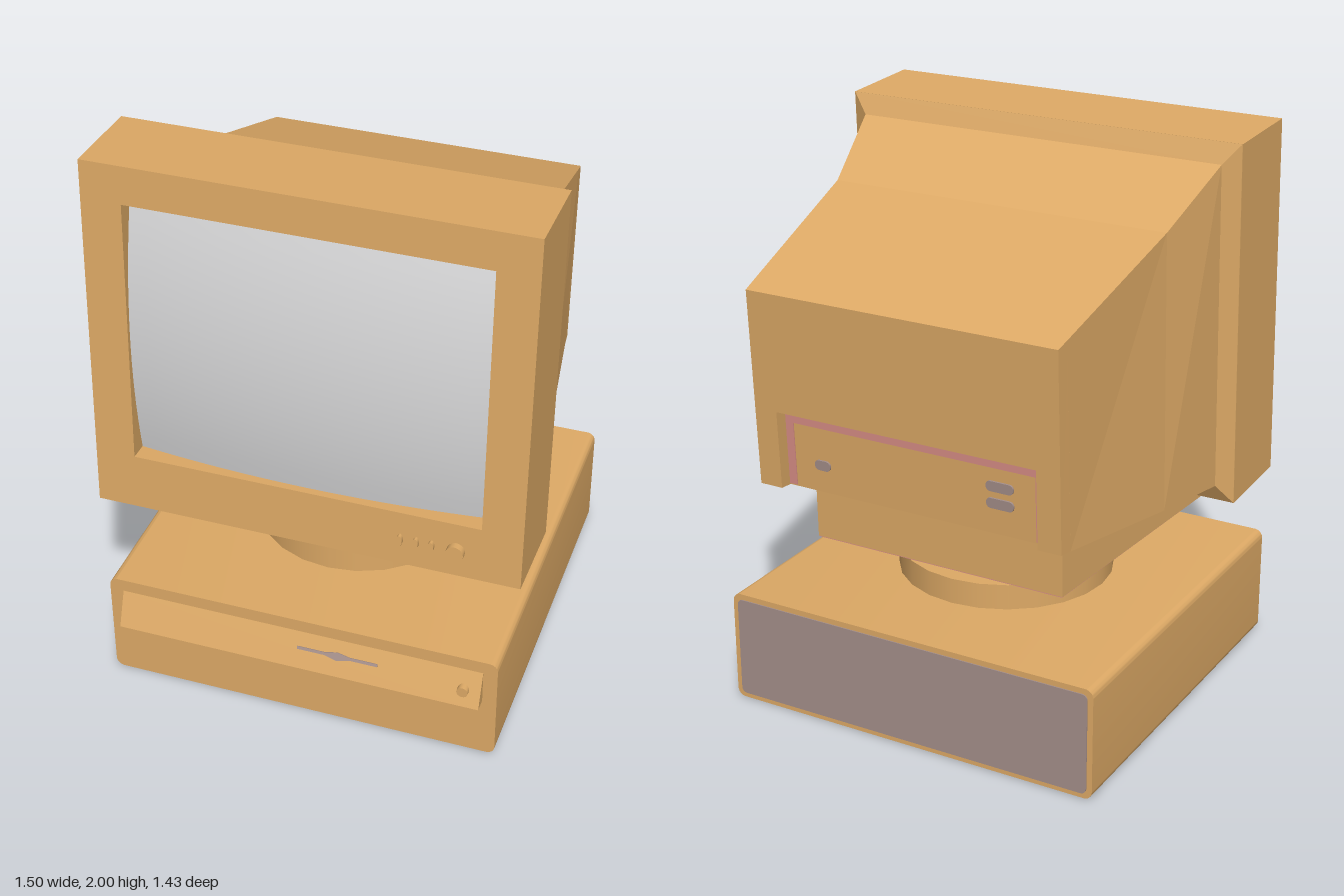
import * as THREE from 'three';
import { toCreasedNormals } from 'three/addons/utils/BufferGeometryUtils.js';

const mat = (name, color, side = THREE.FrontSide) => {
  const m = new THREE.MeshStandardMaterial({ color, side });
  m.name = name;
  return m;
};

// Flat-sided loft, front to back; section = { top:[z,y], bot:[z,y], wt, wb } (half widths)
function loft(sections) {
  const pos = [];
  const quad = (a, b, c, d) => pos.push(...a, ...b, ...c, ...a, ...c, ...d);
  const rings = sections.map(({ top, bot, wt, wb = wt }) => [
    [-wt, top[1], top[0]], [-wb, bot[1], bot[0]], [wb, bot[1], bot[0]], [wt, top[1], top[0]],
  ]);
  for (let s = 0; s < rings.length - 1; s++) {
    const a = rings[s], b = rings[s + 1];
    for (let i = 0; i < 4; i++) {
      const j = (i + 1) % 4;
      quad(a[i], b[i], b[j], a[j]);
    }
  }
  quad(...rings[0]);
  quad(...[...rings[rings.length - 1]].reverse());
  const g = new THREE.BufferGeometry();
  g.setAttribute('position', new THREE.Float32BufferAttribute(pos, 3));
  g.computeVertexNormals();
  return g;
}

const polygon = (points) => new THREE.Shape(points.map(([x, y]) => new THREE.Vector2(x, y)));
const rect = (x0, y0, x1, y1) => polygon([[x0, y0], [x1, y0], [x1, y1], [x0, y1]]);
const extrude = (shape, depth) =>
  new THREE.ExtrudeGeometry(shape, { depth, bevelEnabled: false, curveSegments: 6 });

function roundedRect(x0, y0, x1, y1, r) {
  const s = new THREE.Shape();
  s.absarc(x1 - r, y1 - r, r, 0, Math.PI / 2);
  s.absarc(x0 + r, y1 - r, r, Math.PI / 2, Math.PI);
  s.absarc(x0 + r, y0 + r, r, Math.PI, Math.PI * 1.5);
  s.absarc(x1 - r, y0 + r, r, Math.PI * 1.5, Math.PI * 2);
  s.closePath();
  return s;
}

export function createModel() {
  const tan = mat('tan plastic', 0xdeaa66);
  const glass = mat('screen glass', 0xd8d8d9);
  const pink = mat('pink underside', 0xdb8f88);
  const grey = mat('grey metal', 0xa58f8a);

  const model = new THREE.Group();
  model.name = 'desktopComputer';
  const add = (parent, name, geometry, material, x = 0, y = 0, z = 0) => {
    const m = new THREE.Mesh(geometry, material);
    m.name = name;
    m.position.set(x, y, z);
    parent.add(m);
    return m;
  };
  const box = (parent, name, material, size, at) =>
    add(parent, name, new THREE.BoxGeometry(...size), material, ...at);
  const knob = (parent, name, r, length, x, y, z, squash = 1) => {
    const g = new THREE.CylinderGeometry(r, r, length, 16).rotateX(Math.PI / 2).scale(squash, 1, 1);
    return add(parent, name, g, tan, x, y, z);
  };

  // System case with rounded long edges
  const caseBox = new THREE.Group();
  caseBox.name = 'systemCase';
  model.add(caseBox);
  add(caseBox, 'caseShell',
    toCreasedNormals(extrude(roundedRect(-0.705, 0.002, 0.705, 0.407, 0.03), 1.37), 0.6), tan, 0, 0, -0.704);
  box(caseBox, 'caseUnderside', pink, [1.35, 0.006, 1.36], [0, 0.003, -0.02]);
  add(caseBox, 'caseBackPanel', extrude(roundedRect(-0.685, 0.02, 0.685, 0.387, 0.02), 0.005), grey, 0, 0, -0.708);

  // Slanted drive panel with slot and button
  add(caseBox, 'drivePanel', loft([
    { top: [0.667, 0.36], bot: [0.715, 0.235], wt: 0.655 },
    { top: [0.655, 0.36], bot: [0.655, 0.235], wt: 0.655 },
  ]), tan);
  const slot = add(caseBox, 'diskSlot', extrude(polygon([
    [-0.145, -0.005], [-0.045, -0.005], [0, -0.017], [0.045, -0.005], [0.145, -0.005],
    [0.145, 0.005], [0.045, 0.005], [0, 0.014], [-0.045, 0.005], [-0.145, 0.005],
  ]), 0.006), grey, 0.145, 0.305, 0.686);
  slot.rotation.x = -Math.atan2(0.048, 0.125);
  knob(caseBox, 'powerButton', 0.02, 0.05, 0.595, 0.293, 0.685);

  // Swivel stand
  const stand = new THREE.Group();
  stand.name = 'swivelStand';
  stand.position.z = -0.015;
  model.add(stand);
  add(stand, 'standDisc', new THREE.CylinderGeometry(0.385, 0.385, 0.095, 24), tan, 0, 0.452, 0);
  const bowl = [[0.2, 0.495], [0.24, 0.53], [0.275, 0.575], [0.295, 0.62], [0.3, 0.66]];
  add(stand, 'swivelBowl', new THREE.LatheGeometry(bowl.map(([x, y]) => new THREE.Vector2(x, y)), 24), tan);

  // Tapered foot under the monitor
  const foot = new THREE.Group();
  foot.name = 'monitorFoot';
  model.add(foot);
  add(foot, 'footBlock', loft([
    { top: [0.445, 0.74], bot: [0.445, 0.625], wt: 0.575 },
    { top: [-0.5, 0.835], bot: [-0.495, 0.592], wt: 0.48 },
  ]), tan);
  add(foot, 'footUnderside', loft([
    { top: [0.444, 0.626], bot: [0.444, 0.622], wt: 0.572 },
    { top: [-0.494, 0.593], bot: [-0.494, 0.589], wt: 0.478 },
  ]), pink);
  box(foot, 'footFrontStrip', pink, [1.0, 0.035, 0.004], [0, 0.65, 0.446]);

  // Monitor housing
  const monitor = new THREE.Group();
  monitor.name = 'monitor';
  model.add(monitor);
  add(monitor, 'housing', loft([
    { top: [0.215, 1.985], bot: [0.27, 0.686], wt: 0.749 },
    { top: [0.188, 1.915], bot: [0.24, 0.75], wt: 0.69 },
    { top: [-0.09, 1.75], bot: [-0.1, 0.785], wt: 0.63, wb: 0.655 },
    { top: [-0.668, 1.562], bot: [-0.634, 0.84], wt: 0.58 },
  ]), tan);

  // Rear collar: arch-shaped rim around the socket recess, sheared to the rear slope
  const collar = extrude(polygon([
    [-0.575, 0.845], [-0.49, 0.845], [-0.49, 1.125], [0.49, 1.125],
    [0.49, 0.845], [0.575, 0.845], [0.575, 1.545], [-0.575, 1.545],
  ]), 0.052);
  const p = collar.attributes.position;
  for (let i = 0; i < p.count; i++) {
    const x = p.getX(i), y = p.getY(i), z = p.getZ(i);
    const inner = z > 0.02;
    const dx = inner && Math.abs(x) > 0.55 ? Math.sign(x) * 0.005 : 0;
    const dy = inner ? (y > 1.5 ? 0.017 : y < 0.9 ? -0.005 : 0) : 0;
    p.setXYZ(i, x + dx, y + dy, -0.72 + (1.545 - y) * 0.05 + z);
  }
  collar.computeVertexNormals();
  add(monitor, 'rearCollar', collar, tan);

  // Recess trim and sockets
  const recess = new THREE.Group();
  recess.name = 'socketRecess';
  recess.position.set(0, 1.0, -0.642);
  recess.rotation.x = -0.047;
  monitor.add(recess);
  box(recess, 'recessTopTrim', pink, [0.98, 0.05, 0.006], [0, 0.1, 0]);
  for (const s of [-1, 1]) box(recess, 'recessSideTrim', pink, [0.03, 0.23, 0.006], [s * 0.475, -0.04, 0]);
  for (const [x, y, w] of [[0.35, -0.06, 0.06], [-0.33, 0.01, 0.1], [-0.33, -0.05, 0.1]])
    add(recess, 'socket', extrude(roundedRect(-w / 2, -0.018, w / 2, 0.018, 0.016), 0.008), grey, x, y, -0.006);

  // Tilted front: bezel, curved screen and control knobs
  const front = new THREE.Group();
  front.name = 'monitorFront';
  front.position.set(0, 1.35, 0.5725);
  front.rotation.x = -0.0423;
  model.add(front);
  const frame = rect(-0.75, -0.65, 0.75, 0.65);
  frame.holes.push(rect(-0.61, -0.445, 0.61, 0.515));
  add(front, 'bezel', extrude(frame, 0.33), tan, 0, 0, -0.33);
  box(front, 'bezelUnderside', pink, [1.49, 0.004, 0.32], [0, -0.65, -0.165]);
  const screen = new THREE.PlaneGeometry(1.22, 0.96, 20, 16);
  const sp = screen.attributes.position;
  for (let i = 0; i < sp.count; i++)
    sp.setZ(i, 0.025 * (1 - (sp.getX(i) / 0.48) ** 2 - (sp.getY(i) / 0.33) ** 2));
  screen.computeVertexNormals();
  add(front, 'screen', screen, glass, 0, 0.035, 0);
  for (const x of [0.335, 0.39, 0.443]) knob(front, 'smallKnob', 0.021, 0.03, x, -0.55, 0, 0.5);
  knob(front, 'largeKnob', 0.031, 0.05, 0.527, -0.55, 0);

  return model;
}
